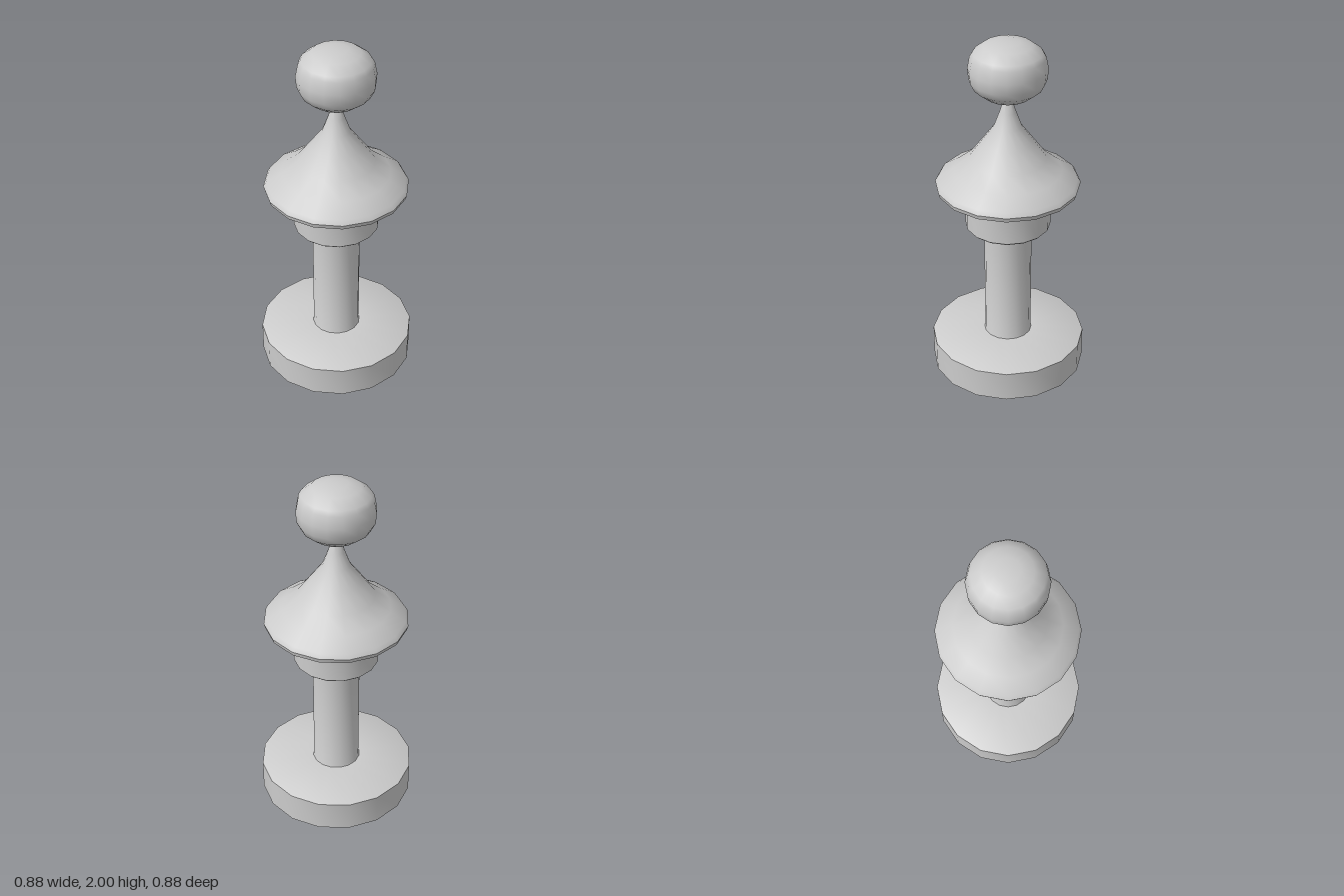
import * as THREE from 'three';
import { toCreasedNormals } from 'three/addons/utils/BufferGeometryUtils.js';

const SIDES = 16;
const material = new THREE.MeshStandardMaterial({ color: 0xcccccc });

// Turned part from [radius, height] pairs listed bottom to top
function turned(name, profile) {
  const points = profile.map(([r, y]) => new THREE.Vector2(r, y));
  const geometry = toCreasedNormals(new THREE.LatheGeometry(points, SIDES), 0.75);
  const mesh = new THREE.Mesh(geometry, material);
  mesh.name = name;
  return mesh;
}

export function createModel() {
  const model = new THREE.Group();
  model.name = 'turnedPiece';

  model.add(
    // Wide foot with a gently sloping top
    turned('base', [[0, 0], [0.44, 0], [0.44, 0.177], [0.435, 0.181], [0.14, 0.197], [0, 0.197]]),

    // Straight column, slightly flared where it meets the base
    turned('column', [[0.14, 0.19], [0.133, 0.205], [0.133, 0.92]]),

    // Lower ring with softened rims
    turned('collar', [
      [0, 0.905], [0.229, 0.905], [0.238, 0.914],
      [0.238, 1.061], [0.229, 1.07], [0, 1.07],
    ]),

    // Smaller ring and short neck under the hat
    turned('upperCollar', [[0.165, 1.06], [0.165, 1.125], [0.16, 1.13], [0, 1.13]]),
    turned('neck', [[0.12, 1.12], [0.12, 1.15]]),

    // Concave conical hat with a rounded brim
    turned('hat', [
      [0, 1.14], [0.37, 1.14], [0.393, 1.15], [0.4, 1.175], [0.385, 1.2],
      [0.3, 1.255], [0.215, 1.325], [0.142, 1.425], [0.076, 1.515],
      [0.045, 1.6], [0.016, 1.69],
    ]),

    // Flattened ball on the tip
    turned('finial', [
      [0, 1.68], [0.05, 1.682], [0.12, 1.694], [0.185, 1.745], [0.208, 1.79],
      [0.213, 1.85], [0.2, 1.915], [0.185, 1.94], [0.13, 1.982], [0.065, 1.998], [0, 2],
    ]),
  );

  return model;
}
